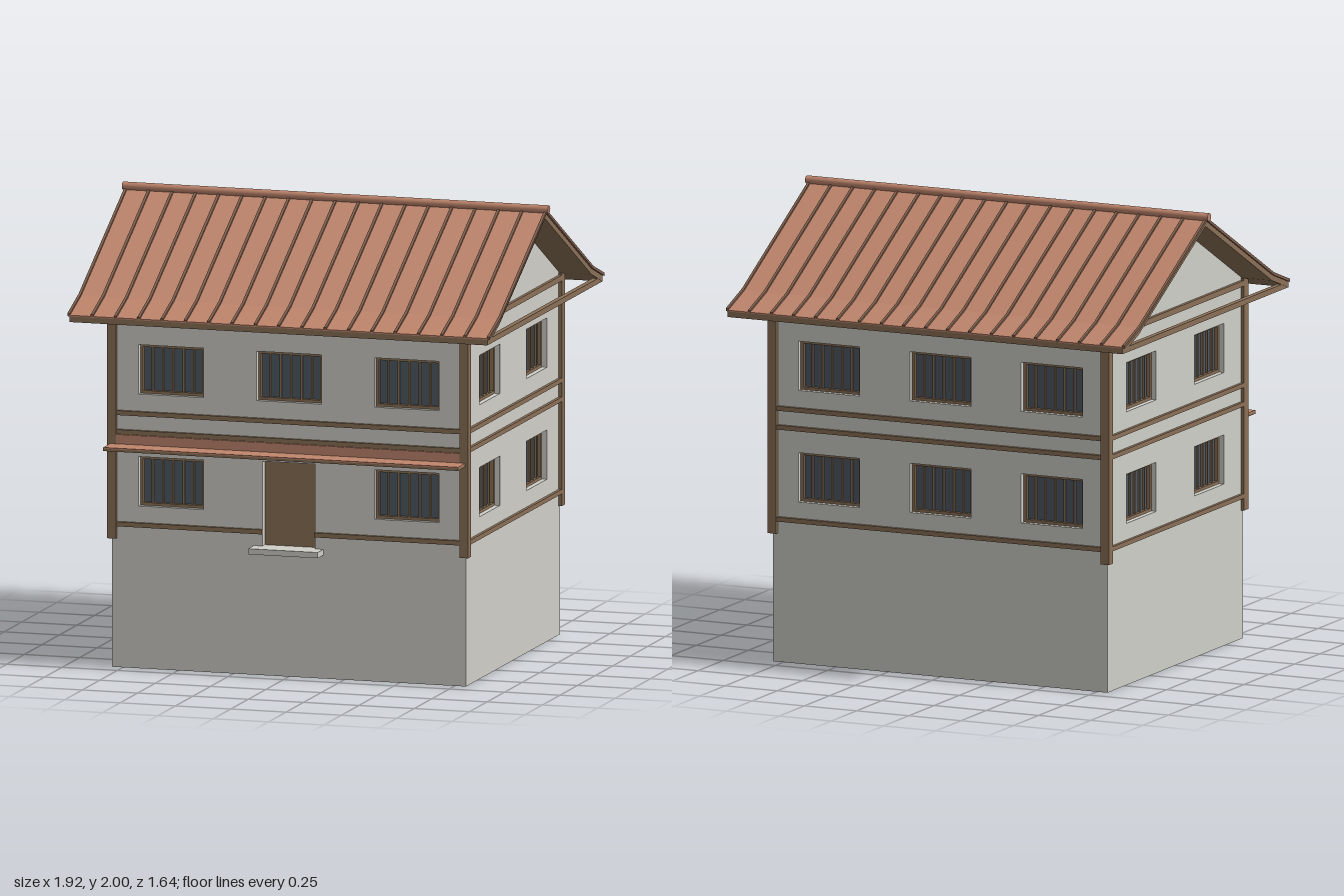
import * as THREE from 'three';

const mat = (name, color, side = THREE.FrontSide) => {
  const m = new THREE.MeshStandardMaterial({ color, side });
  m.name = name;
  return m;
};

export function createModel() {
  const plaster = mat('plaster', 0xd0cfc8, THREE.DoubleSide);
  const wood = mat('wood', 0x8a7057);
  const tile = mat('roof tile', 0xc0866d);
  const seam = mat('dark seam', 0x80604e);
  const glass = mat('window glass', 0x4e5963);

  const house = new THREE.Group();
  house.name = 'house';

  const add = (parent, name, geometry, material) => {
    const mesh = new THREE.Mesh(geometry, material);
    mesh.name = name;
    parent.add(mesh);
    return mesh;
  };
  // Box given by its minimum and maximum on each axis
  const box = (parent, name, material, [x0, x1], [y0, y1], [z0, z1]) => {
    const g = new THREE.BoxGeometry(x1 - x0, y1 - y0, z1 - z0);
    g.translate((x0 + x1) / 2, (y0 + y1) / 2, (z0 + z1) / 2);
    return add(parent, name, g, material);
  };

  const DEPTH = 0.035;
  // Recess lining around an opening
  const lining = (parent, [x0, x1], [y0, y1]) => {
    const z = [-DEPTH, 0], t = 0.003;
    box(parent, 'reveal', plaster, [x0 - t, x0], [y0, y1], z);
    box(parent, 'reveal', plaster, [x1, x1 + t], [y0, y1], z);
    box(parent, 'reveal', plaster, [x0, x1], [y0 - t, y0], z);
    box(parent, 'reveal', plaster, [x0, x1], [y1, y1 + t], z);
  };

  // Barred window sunk into the wall
  const windowAt = (parent, cx, y0) => {
    const g = new THREE.Group();
    g.name = 'window';
    g.position.set(cx, y0, 0);
    parent.add(g);
    const w = 0.146, h = 0.216, f = 0.013, z = [-DEPTH - 0.015, -DEPTH + 0.012];
    lining(g, [-w, w], [0, h]);
    box(g, 'pane', glass, [-w, w], [0, h], [-DEPTH - 0.012, -DEPTH - 0.004]);
    for (const s of [-1, 1]) {
      const a = s * w, b = s * (w - f);
      box(g, 'frameSide', wood, [Math.min(a, b), Math.max(a, b)], [0, h], z);
    }
    box(g, 'frameBottom', wood, [-w, w], [0, f], z);
    box(g, 'frameTop', wood, [-w, w], [h - f, h], z);
    for (let i = -2; i <= 2; i++) {
      const x = i * 0.047;
      box(g, 'bar', wood, [x - 0.004, x + 0.004], [f, h - f], [-DEPTH - 0.003, -DEPTH + 0.006]);
    }
  };

  // One wall, outward along its local +z, with openings and timber bands
  const wall = (name, half, dist, turn, xs, { gable = false, door = false } = {}) => {
    const g = new THREE.Group();
    g.name = name;
    g.rotation.y = turn;
    g.position.set(Math.sin(turn) * dist, 0, Math.cos(turn) * dist);
    house.add(g);

    const top = 1.58;
    const outline = [[-half, 0], [half, 0], [half, top]];
    if (gable) outline.push([0, 1.945]);
    outline.push([-half, top]);
    const shape = new THREE.Shape(outline.map(p => new THREE.Vector2(...p)));
    const hole = ([x0, x1], [y0, y1]) => shape.holes.push(new THREE.Path(
      [[x0, y0], [x0, y1], [x1, y1], [x1, y0]].map(p => new THREE.Vector2(...p))));

    for (const y of [0.71, 1.2]) {
      for (const x of xs) {
        if (door && x === 0 && y < 1) continue;
        hole([x - 0.146, x + 0.146], [y, y + 0.216]);
        windowAt(g, x, y);
      }
    }
    if (door) {
      const dx = [-0.12, 0.117], dy = [0.565, 0.936];
      hole(dx, dy);
      lining(g, dx, dy);
      box(g, 'door', wood, dx, dy, [-DEPTH - 0.012, -DEPTH]);
    }
    add(g, 'wallPanel', new THREE.ShapeGeometry(shape), plaster);

    const z = [-0.012, 0.014], e = half - 0.02;
    for (const y of [0.618, 1.022, 1.105]) {
      if (door && y < 0.7) {
        // Sill band stops at the doorway
        box(g, 'band', wood, [-e, -0.12], [y, y + 0.02], z);
        box(g, 'band', wood, [0.117, e], [y, y + 0.02], z);
      } else box(g, 'band', wood, [-e, e], [y, y + 0.02], z);
    }
    if (gable) box(g, 'gableBand', wood, [-e, e], [1.55, 1.575], z);
  };

  wall('frontWall', 0.8, 0.67, 0, [-0.533, 0, 0.533], { door: true });
  wall('backWall', 0.8, 0.67, Math.PI, [-0.533, 0, 0.533]);
  wall('leftWall', 0.67, 0.8, Math.PI / 2, [-0.335, 0.335], { gable: true });
  wall('rightWall', 0.67, 0.8, -Math.PI / 2, [-0.335, 0.335], { gable: true });

  // Corner posts and gable tie beams
  for (const sx of [-1, 1]) {
    for (const sz of [-1, 1]) {
      const x = sx * 0.796, z = sz * 0.67;
      box(house, 'cornerPost', wood, [x - 0.02, x + 0.02], [0.565, 1.585], [z - 0.02, z + 0.02]);
    }
    const x = sx * 0.932;
    box(house, 'tieBeam', wood, [x - 0.012, x + 0.012], [1.526, 1.55], [-0.815, 0.815]);
  }

  // Bent roof layer: a band between two heights above the roof line, run along x
  const roofLine = [[-0.82, 1.55], [-0.66, 1.608], [0, 1.965], [0.66, 1.608], [0.82, 1.55]];
  const roofLayer = (name, material, low, high, x0, x1) => {
    const pts = [
      ...roofLine.map(([z, y]) => new THREE.Vector2(z, y + low)),
      ...[...roofLine].reverse().map(([z, y]) => new THREE.Vector2(z, y + high)),
    ];
    const g = new THREE.ExtrudeGeometry(new THREE.Shape(pts), { depth: x1 - x0, bevelEnabled: false });
    g.rotateY(Math.PI / 2).translate(x0, 0, 0);
    return add(house, name, g, material);
  };
  roofLayer('roofDeck', wood, -0.024, 0, -0.945, 0.945);
  roofLayer('roofTiles', tile, 0, 0.006, -0.945, 0.945);
  for (let i = 0; i < 19; i++) {
    const x = -0.948 + i * 0.10533;
    roofLayer('roofSeam', seam, 0.001, 0.014, x - 0.006, x + 0.006);
  }

  // Ridge cap
  const ridge = new THREE.CylinderGeometry(0.018, 0.018, 1.925, 12).rotateZ(Math.PI / 2);
  add(house, 'ridgeCap', ridge, tile).position.y = 1.982;

  // Canopy over the entrance side
  box(house, 'canopyBoard', wood, [-0.802, 0.802], [0.964, 0.974], [0.66, 0.79]);
  box(house, 'canopyTiles', tile, [-0.802, 0.802], [0.974, 0.98], [0.66, 0.79]);
  box(house, 'canopyFlashing', tile, [-0.78, 0.78], [0.98, 1.021], [0.66, 0.688]);

  // Doorstep
  box(house, 'doorstep', plaster, [-0.158, 0.155], [0.54, 0.565], [0.66, 0.75]);

  return house;
}
